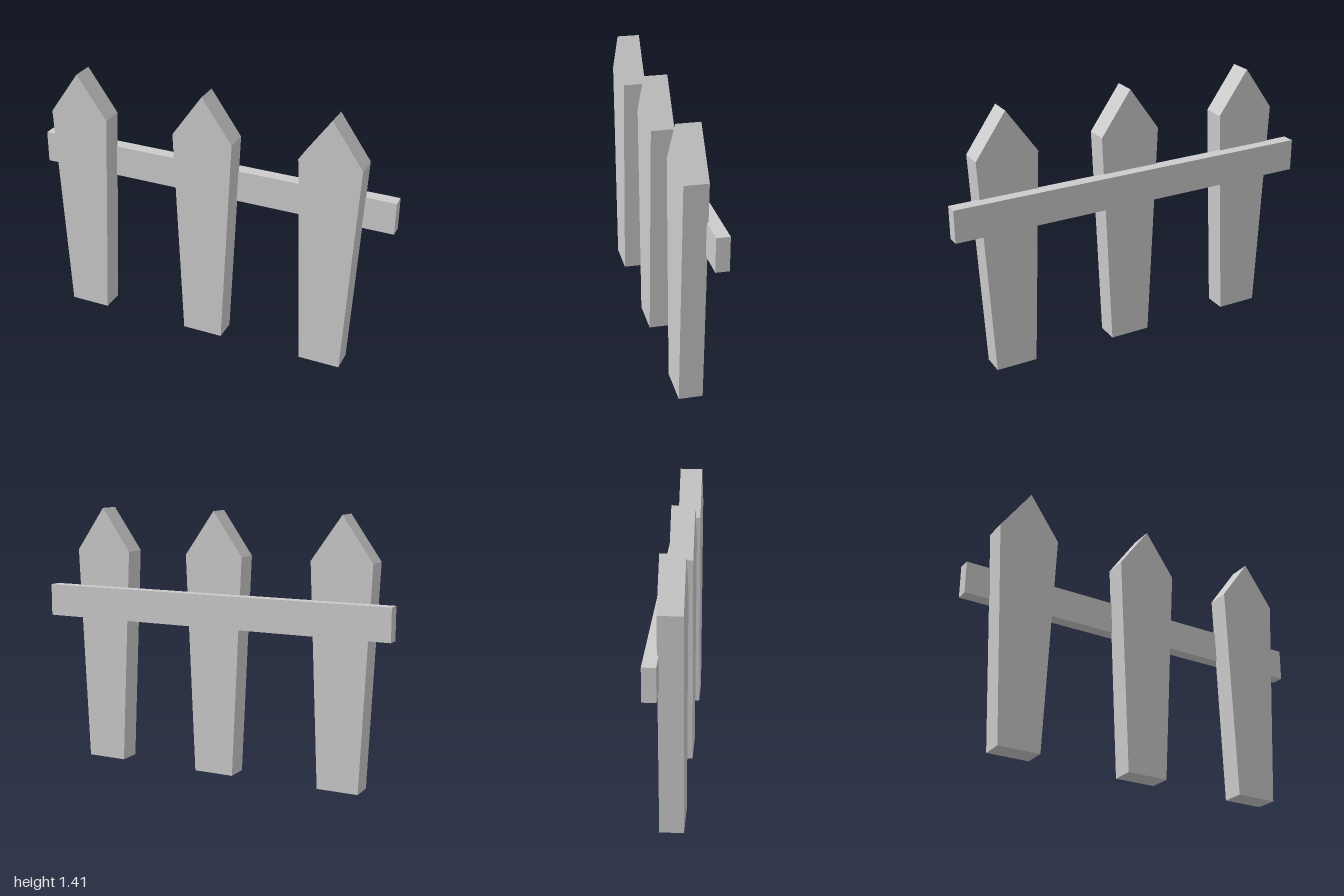
import * as THREE from 'three';

export function createModel() {
  const fence = new THREE.Group();
  fence.name = 'picketFence';
  const material = new THREE.MeshStandardMaterial({ color: 0xcccccc, flatShading: true });

  // Pointed board, narrower at the foot than at the shoulders
  const outline = new THREE.Shape([
    [-0.112, 0], [0.112, 0], [0.165, 1.178], [0, 1.412], [-0.165, 1.178],
  ].map(([x, y]) => new THREE.Vector2(x, y)));
  const picketGeometry = new THREE.ExtrudeGeometry(outline, { depth: 0.122, bevelEnabled: false });

  // Three upright pickets, slightly unevenly spaced
  [-0.715, 0, 0.685].forEach((x, i) => {
    const picket = new THREE.Mesh(picketGeometry, material);
    picket.name = `picket${i + 1}`;
    picket.position.set(x, 0, -0.031);
    fence.add(picket);
  });

  // Horizontal rail set slightly into the backs of the pickets
  const rail = new THREE.Mesh(new THREE.BoxGeometry(2, 0.174, 0.068), material);
  rail.name = 'rail';
  rail.position.set(0, 0.893, -0.057);
  fence.add(rail);

  return fence;
}
